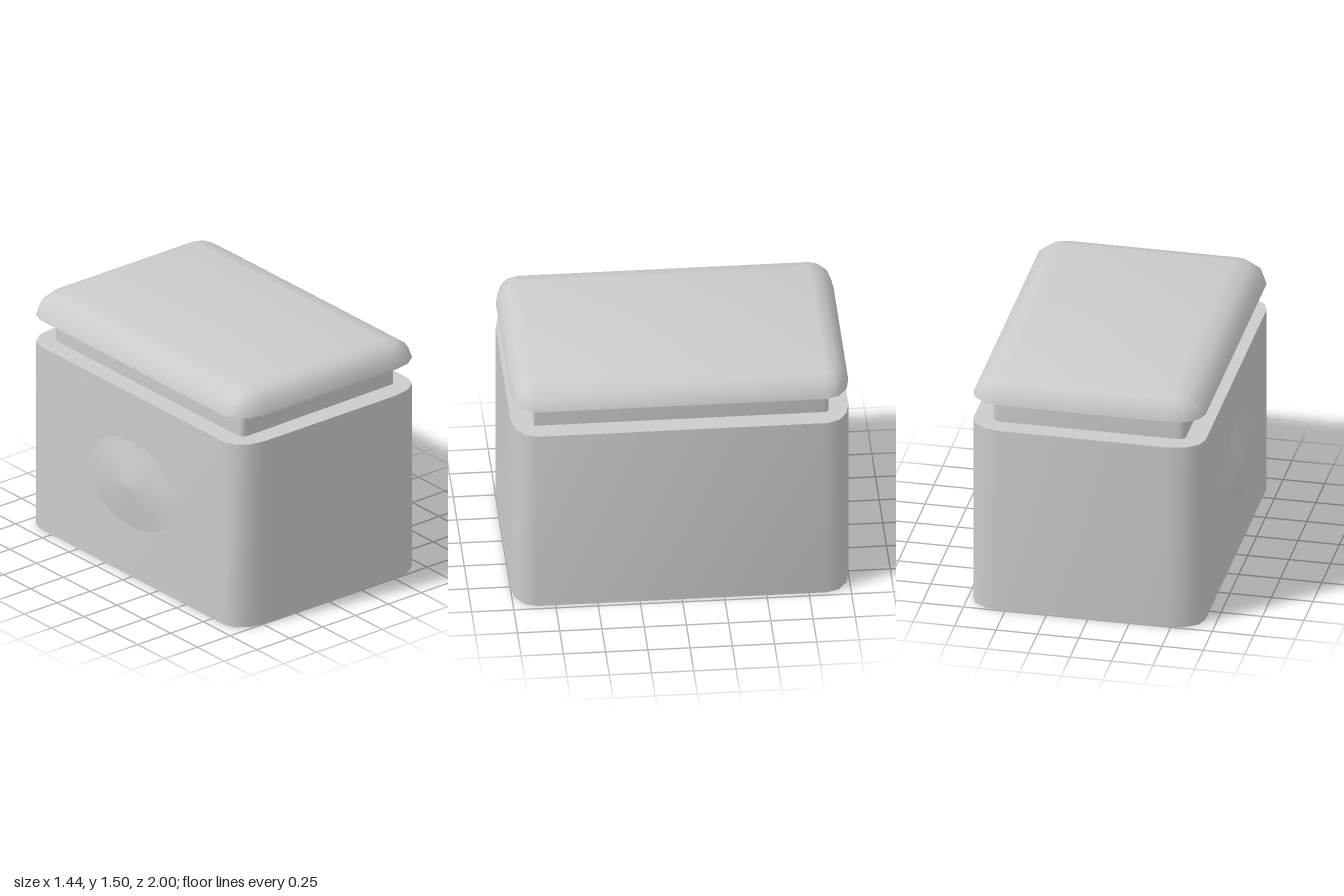
import * as THREE from 'three';
import { toCreasedNormals } from 'three/addons/utils/BufferGeometryUtils.js';

const CX = 0.02; // the box sits slightly off centre because of the side bulge

// Rounded rectangle with elliptical corners; corner centres at (±ix, ±iz)
function roundedRing(y, ix, iz, rx, rz, segments = 3) {
  const ring = [];
  for (let q = 0; q < 4; q++) {
    const sx = q === 0 || q === 3 ? 1 : -1;
    const sz = q < 2 ? 1 : -1;
    for (let s = 0; s <= segments; s++) {
      const t = (q + s / segments) * Math.PI / 2;
      ring.push(new THREE.Vector3(CX + sx * ix + rx * Math.cos(t), y, sz * iz + rz * Math.sin(t)));
    }
  }
  return ring;
}

// Closed solid through a stack of rings, bottom to top
function loft(rings) {
  const pos = [];
  const tri = (a, b, c) => {
    const area = b.clone().sub(a).cross(c.clone().sub(a)).length();
    if (area > 1e-8) for (const p of [a, b, c]) pos.push(p.x, p.y, p.z);
  };
  const n = rings[0].length;
  const bottom = rings[0], top = rings[rings.length - 1];
  const bottomCentre = new THREE.Vector3(CX, bottom[0].y, 0);
  const topCentre = new THREE.Vector3(CX, top[0].y, 0);
  for (let i = 0; i < n; i++) {
    const j = (i + 1) % n;
    for (let k = 0; k + 1 < rings.length; k++) {
      const lo = rings[k], hi = rings[k + 1];
      tri(lo[i], hi[i], lo[j]);
      tri(lo[j], hi[i], hi[j]);
    }
    tri(bottomCentre, bottom[i], bottom[j]);
    tri(topCentre, top[j], top[i]);
  }
  const geometry = new THREE.BufferGeometry();
  geometry.setAttribute('position', new THREE.Float32BufferAttribute(pos, 3));
  return toCreasedNormals(geometry, Math.PI / 4);
}

export function createModel() {
  const group = new THREE.Group();
  const material = new THREE.MeshStandardMaterial({ color: 0xcccccc });
  const add = (name, geometry) => {
    const mesh = new THREE.Mesh(geometry, material);
    mesh.name = name;
    group.add(mesh);
    return mesh;
  };

  // Main box
  add('body', loft([0, 1.19].map((y) => roundedRing(y, 0.5, 0.86, 0.2, 0.14))));

  // Recessed neck between box and lid, with one sharp front corner
  const neckRing = (y) => {
    const ring = roundedRing(y, 0.54, 0.85, 0.04, 0.03);
    for (let i = 0; i < 4; i++) ring[i].set(0.6, y, 0.865);
    return ring;
  };
  add('neck', loft([neckRing(1.19), neckRing(1.36)]));

  // Lid with a rounded upper edge
  const lidRings = [0, 1, 2, 3].map((k) => {
    const a = k * Math.PI / 6;
    return roundedRing(1.36 + 0.14 * Math.sin(a), 0.5, 0.86, 0.2 * Math.cos(a), 0.14 * Math.cos(a));
  });
  add('lid', loft(lidRings));

  // Shallow dome on the side
  const profile = [[1, 0], [0.5, 0.023], [0, 0.043]].map(([r, h]) => new THREE.Vector2(r, h));
  const bulge = add('sideBulge', new THREE.LatheGeometry(profile, 16));
  bulge.scale.set(0.28, 1, 0.4);
  bulge.rotation.z = Math.PI / 2;
  bulge.position.set(-0.68, 0.6, 0);

  return group;
}
